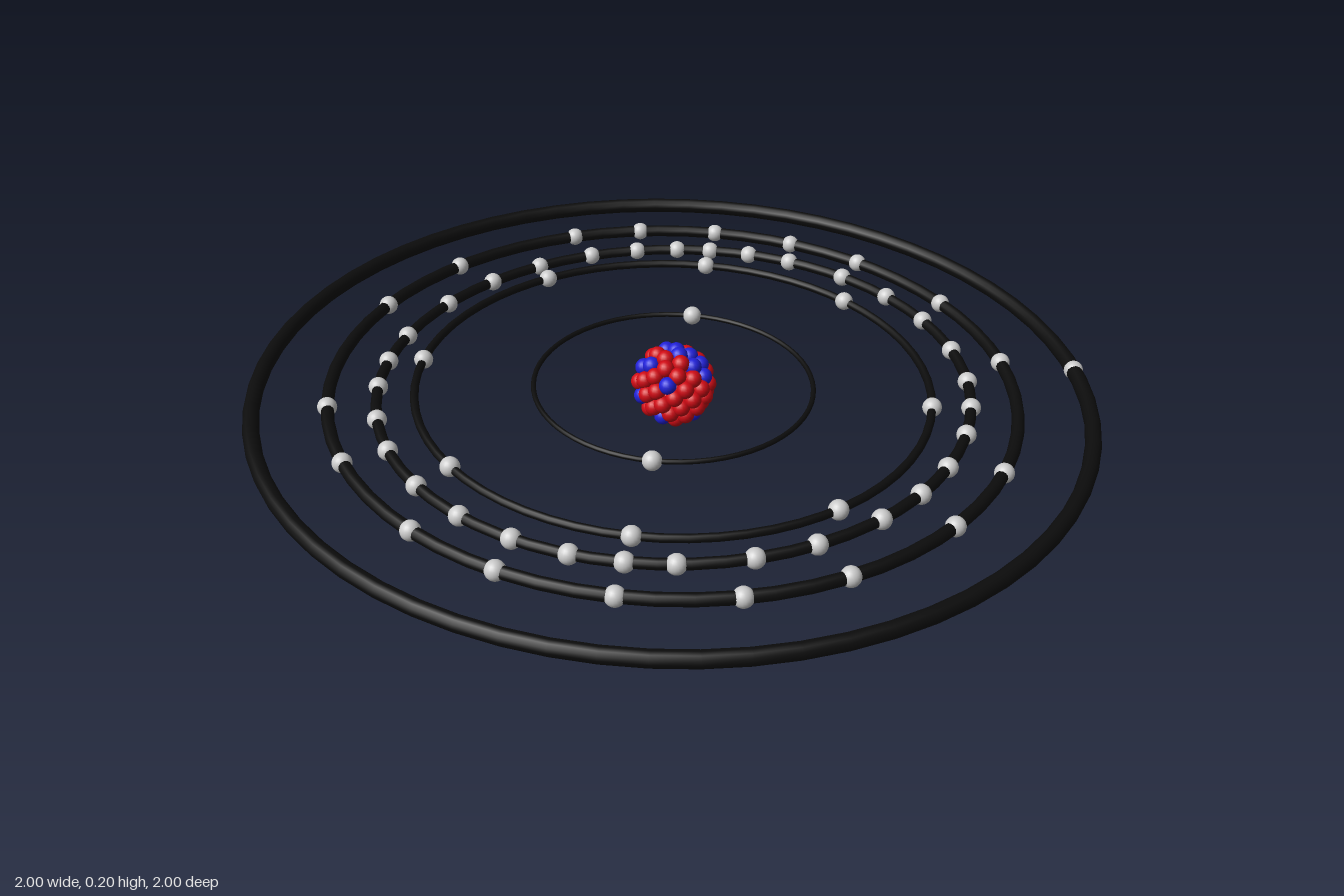
import * as THREE from 'three';

const CENTER_Y = 0.106;
const CENTER_Z = -0.005;

// Shells: ring radius, tube radius, tilt, and clockwise electron angles (degrees from the back)
const SHELLS = [
  { name: 'firstShell', radius: 0.333, tube: 0.006, tilt: -0.022, z: CENTER_Z, angles: [0, 180] },
  { name: 'secondShell', radius: 0.612, tube: 0.01, tilt: -0.022, z: CENTER_Z,
    angles: [0, 38.3, 90, 136.8, 180, 225, 270, 319] },
  { name: 'thirdShell', radius: 0.701, tube: 0.013, tilt: 0, z: CENTER_Z,
    angles: [0, 8.8, 18.3, 31.6, 44, 56.2, 69.1, 81.3, 90.9, 100.5, 112.3, 122.5, 133.2, 146.8, 158.1, 171.3,
      180, 189.6, 200.4, 212, 224.4, 237.4, 248.5, 260.4, 270.2, 280.6, 295.8, 308.8, 320.9, 333.2, 343.6, 352.6] },
  { name: 'fourthShell', radius: 0.811, tube: 0.015, tilt: -0.022, z: CENTER_Z,
    angles: [0, 15.3, 29.8, 50.7, 73, 107.6, 124.8, 145.7, 162, 180, 198, 214, 235.5, 252.3, 287.7, 307, 332.1, 345.2] },
  { name: 'outerShell', radius: 0.981, tube: 0.019, tilt: -0.022, z: 0, angles: [76] },
];

function seededRandom(seed) {
  return () => {
    seed = (seed * 16807) % 2147483647;
    return seed / 2147483647;
  };
}

export function createModel() {
  const model = new THREE.Group();
  model.name = 'atom';

  const black = new THREE.MeshStandardMaterial({ color: 0x0c0c0c });
  const grey = new THREE.MeshStandardMaterial({ color: 0xcccccc });
  const red = new THREE.MeshStandardMaterial({ color: 0xd00a14 });
  const blue = new THREE.MeshStandardMaterial({ color: 0x2020d8 });

  // Orbit rings with their electrons
  const electronGeometry = new THREE.SphereGeometry(0.023, 20, 14);
  for (const { name, radius, tube, tilt, z, angles } of SHELLS) {
    const shell = new THREE.Group();
    shell.name = name;
    shell.position.set(0, CENTER_Y, z);
    shell.rotation.z = tilt;

    const ring = new THREE.Mesh(new THREE.TorusGeometry(radius, tube, 12, 64).rotateX(Math.PI / 2), black);
    ring.name = 'orbitRing';
    shell.add(ring);

    for (const angle of angles) {
      const a = THREE.MathUtils.degToRad(angle);
      const electron = new THREE.Mesh(electronGeometry, grey);
      electron.name = 'electron';
      electron.position.set(radius * Math.sin(a), 0, -radius * Math.cos(a));
      shell.add(electron);
    }
    model.add(shell);
  }

  // Nucleus: layers of protons and neutrons spread evenly over spheres
  const nucleus = new THREE.Group();
  nucleus.name = 'nucleus';
  nucleus.position.set(0, CENTER_Y - 0.002, CENTER_Z);
  const random = seededRandom(79);
  const particleGeometry = new THREE.SphereGeometry(0.021, 16, 12);
  const golden = Math.PI * (3 - Math.sqrt(5));
  for (const [count, layerRadius] of [[72, 0.08], [32, 0.052]]) {
    for (let i = 0; i < count; i++) {
      const y = 1 - (2 * (i + 0.5)) / count;
      const r = Math.sqrt(1 - y * y);
      const isNeutron = random() < 0.38;
      const particle = new THREE.Mesh(particleGeometry, isNeutron ? blue : red);
      particle.name = isNeutron ? 'neutron' : 'proton';
      particle.position
        .set(r * Math.cos(i * golden), y, r * Math.sin(i * golden))
        .multiplyScalar(layerRadius * (0.97 + 0.06 * random()));
      nucleus.add(particle);
    }
  }
  model.add(nucleus);

  return model;
}
